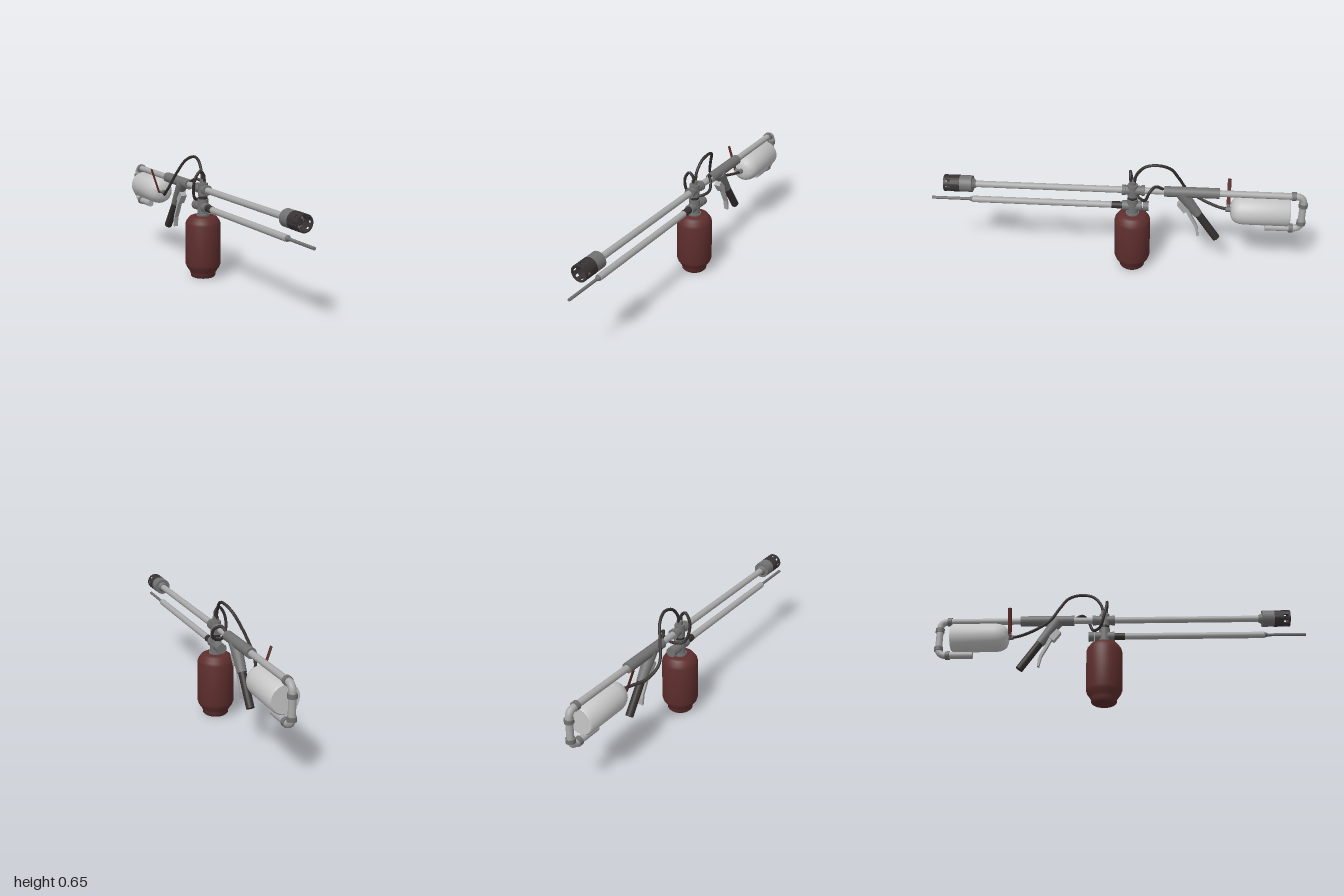
import * as THREE from 'three';
import { toCreasedNormals } from 'three/addons/utils/BufferGeometryUtils.js';

const paint = (name, color, side = THREE.FrontSide) => {
  const m = new THREE.MeshStandardMaterial({ color, side });
  m.name = name;
  return m;
};

export function createModel() {
  const model = new THREE.Group();
  const steel = paint('pale steel', 0xa9a9a9);
  const enamel = paint('white enamel', 0xc6c6c6);
  const iron = paint('grey iron', 0x727272);
  const soot = paint('sooty metal', 0x393334, THREE.DoubleSide);
  const rubber = paint('black rubber', 0x352f2f);
  const red = paint('dark red', 0x5e2e2d);
  const V = (x, y, z) => new THREE.Vector3(x, y, z);

  const add = (name, geo, mat) => {
    const mesh = new THREE.Mesh(geo, mat);
    mesh.name = name;
    model.add(mesh);
    return mesh;
  };
  // Tapered round bar from p (radius r) to q (radius r2)
  const bar = (name, p, q, r, mat, r2 = r, sides = 20) => {
    const d = q.clone().sub(p);
    const mesh = add(name, new THREE.CylinderGeometry(r2, r, d.length(), sides), mat);
    mesh.position.copy(p).addScaledVector(d, 0.5);
    mesh.quaternion.setFromUnitVectors(V(0, 1, 0), d.normalize());
    return mesh;
  };
  // Bar along z at height y
  const zBar = (name, y, z0, z1, r, mat, r2, sides) => bar(name, V(0, y, z0), V(0, y, z1), r, mat, r2, sides);
  const yBar = (name, z, y0, y1, r, mat, r2, sides) => bar(name, V(0, y0, z), V(0, y1, z), r, mat, r2, sides);
  const lathe = (pts, sides = 40) => toCreasedNormals(
    new THREE.LatheGeometry(pts.map(([r, y]) => new THREE.Vector2(r, y)), sides), 0.7);
  const tube = (name, pts, r, mat, n = 90) => add(name,
    new THREE.TubeGeometry(new THREE.CatmullRomCurve3(pts.map(p => V(...p))), n, r, 10), mat);

  const top = 0.485, low = 0.388, hub = -0.08;

  // Red fuel tank
  const fuel = add('fuelTank', lathe([[0, 0], [0.06, 0], [0.067, 0.007], [0.069, 0.024], [0.076, 0.037],
    [0.09, 0.057], [0.096, 0.075], [0.096, 0.295], [0.092, 0.31], [0.075, 0.334], [0.064, 0.34], [0, 0.341]]), red);
  fuel.position.z = hub;

  // Upper barrel and its nozzle
  zBar('barrel', top, -0.93, 0.78, 0.0175, steel);
  zBar('nozzleNeck', top, 0.752, 0.772, 0.02, iron, 0.03);
  zBar('nozzleBase', top, 0.77, 0.85, 0.044, iron, 0.044, 32);
  zBar('nozzleCore', top, 0.85, 0.88, 0.021, soot, 0.018, 8);
  const sleeve = (name, z0, z1, a0, a1) => {
    const s = new THREE.Shape();
    s.absarc(0, 0, 0.0445, a0, a1, false);
    if (a1 - a0 > 6) {
      const hole = new THREE.Path();
      hole.absarc(0, 0, 0.038, 0, Math.PI * 2, true);
      s.holes.push(hole);
    } else s.absarc(0, 0, 0.038, a1, a0, true);
    const geo = new THREE.ExtrudeGeometry(s, { depth: z1 - z0, bevelEnabled: false, curveSegments: a1 - a0 > 6 ? 32 : 5 });
    add(name, toCreasedNormals(geo, 0.6), soot).position.set(0, top, z0);
  };
  sleeve('nozzleSleeve', 0.835, 0.885, 0, Math.PI * 2);
  sleeve('nozzleRim', 0.908, 0.92, 0, Math.PI * 2);
  for (let i = 0; i < 8; i++) {
    const a = i * Math.PI / 4 + 0.18;
    sleeve('nozzleRib', 0.885, 0.908, a, a + 0.48);
  }

  // Lower ignition tube and rod
  zBar('ignitionRod', low, 0.78, 1, 0.008, iron, 0.008, 12);
  zBar('ignitionTip', low, 0.772, 0.795, 0.017, iron, 0.01);
  zBar('ignitionTube', low, 0.02, 0.778, 0.0175, steel);
  zBar('ignitionSleeve', low, -0.025, 0.03, 0.019, rubber);

  // Pipe tees joining the two tubes and the tank
  yBar('lowerTeeBody', hub, 0.345, 0.432, 0.03, iron);
  zBar('lowerTeeArm', low, -0.13, -0.025, 0.026, iron);
  zBar('lowerTeePlug', low, -0.165, -0.135, 0.027, iron);
  yBar('tankNeck', hub, 0.33, 0.35, 0.036, iron);
  yBar('teeNipple', hub, 0.43, 0.45, 0.024, rubber);
  yBar('upperTeeBody', hub, 0.448, 0.518, 0.027, iron);
  zBar('upperTeeArm', top, -0.13, -0.03, 0.024, iron);
  for (const z of [-0.135, -0.033]) zBar('upperTeeCollar', top, z - 0.009, z + 0.009, 0.028, iron);
  yBar('hoseSocket', hub, 0.51, 0.54, 0.016, iron);

  // Receiver, pistol grip and trigger
  zBar('receiver', top, -0.535, -0.245, 0.028, iron, 0.028, 28);
  bar('gripHousing', V(0, 0.48, -0.335), V(0, 0.35, -0.428), 0.033, iron, 0.024);
  bar('grip', V(0, 0.358, -0.424), V(0, 0.2, -0.533), 0.021, rubber);
  const side = (name, pts, width, mat) => {
    const s = new THREE.Shape(pts.map(([z, y]) => new THREE.Vector2(-z, y)));
    const geo = new THREE.ExtrudeGeometry(s, { depth: width, bevelEnabled: false });
    geo.translate(0, 0, -width / 2).rotateY(Math.PI / 2);
    add(name, geo, mat);
  };
  side('triggerMount', [[-0.315, 0.41], [-0.352, 0.36], [-0.395, 0.392], [-0.355, 0.45]], 0.034, steel);
  side('triggerLever', [[-0.36, 0.375], [-0.388, 0.32], [-0.415, 0.27], [-0.423, 0.235], [-0.427, 0.213],
    [-0.437, 0.216], [-0.435, 0.25], [-0.426, 0.28], [-0.402, 0.325], [-0.38, 0.38]], 0.024, steel);

  // White pressure tank with valve and red lever
  const gas = add('pressureTank', lathe([[0, -0.906], [0.07, -0.906], [0.077, -0.897], [0.077, -0.665], [0.074, -0.643],
    [0.066, -0.622], [0.053, -0.607], [0.035, -0.599], [0, -0.596]]).rotateX(Math.PI / 2), enamel);
  gas.position.y = low;
  zBar('tankValve', low, -0.602, -0.572, 0.014, iron);
  bar('valveStem', V(0, low, -0.587), V(-0.034, 0.394, -0.587), 0.008, iron);
  const lever = bar('valveLever', V(-0.032, 0.39, -0.587), V(-0.079, 0.528, -0.587), 0.01, red, 0.01, 12);
  lever.scale.x = 0.5;

  // Rear return pipe
  const rz = -0.973, by = 0.285, bend = 0.045;
  const path = new THREE.CurvePath();
  path.add(new THREE.LineCurve3(V(0, top, -0.9), V(0, top, rz + bend)));
  path.add(new THREE.QuadraticBezierCurve3(V(0, top, rz + bend), V(0, top, rz), V(0, top - bend, rz)));
  path.add(new THREE.LineCurve3(V(0, top - bend, rz), V(0, by + bend, rz)));
  path.add(new THREE.QuadraticBezierCurve3(V(0, by + bend, rz), V(0, by, rz), V(0, by, rz + bend)));
  path.add(new THREE.LineCurve3(V(0, by, rz + bend), V(0, by, -0.8)));
  add('returnPipe', new THREE.TubeGeometry(path, 80, 0.0185, 18), steel);
  zBar('returnPipeEnd', by, -0.81, -0.787, 0.0185, steel);
  for (const y of [top, by]) zBar('pipeCollar', y, -0.932, -0.91, 0.024, iron);
  for (const y of [0.433, 0.323]) yBar('pipeCollar', rz, y - 0.011, y + 0.011, 0.024, iron);

  // Hoses
  tube('gasHose', [[0, 0.53, -0.088], [0, 0.58, -0.1], [0.005, 0.632, -0.145], [0.007, 0.645, -0.21],
    [-0.012, 0.615, -0.275], [-0.045, 0.54, -0.32], [-0.073, 0.45, -0.37], [-0.06, 0.402, -0.45],
    [-0.02, 0.389, -0.53], [0, low, -0.58]], 0.0078, rubber);
  tube('controlHose', [[0, 0.53, -0.07], [-0.001, 0.563, -0.068], [-0.024, 0.585, -0.066], [-0.051, 0.55, -0.068],
    [-0.058, 0.49, -0.08], [-0.038, 0.432, -0.1], [0.015, 0.432, -0.135], [0.048, 0.46, -0.152],
    [0.046, 0.503, -0.17], [0.018, 0.522, -0.2], [0, 0.492, -0.25]], 0.0078, rubber);
  return model;
}
